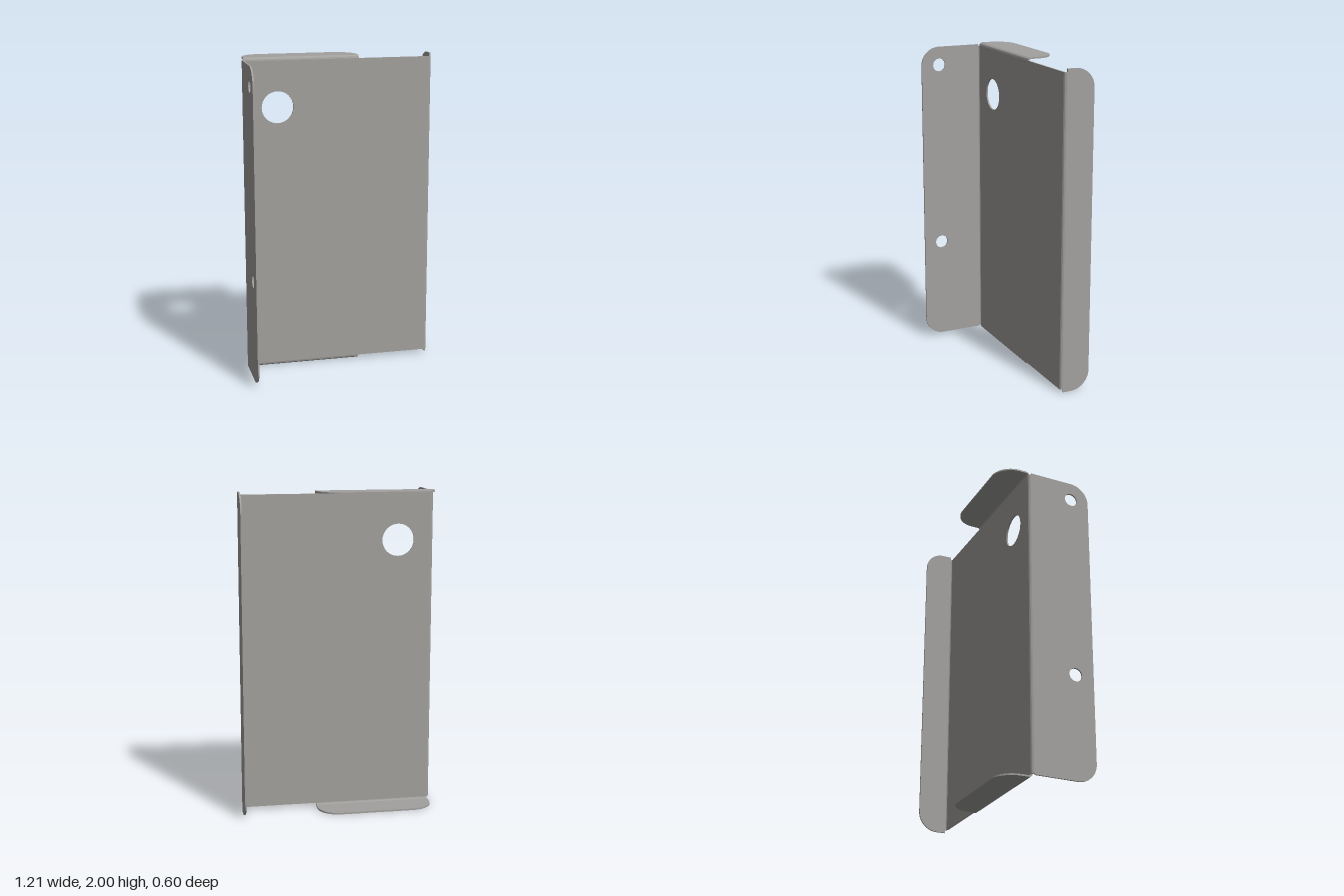
import * as THREE from 'three';
import { toCreasedNormals } from 'three/addons/utils/BufferGeometryUtils.js';

const T = 0.01;   // sheet thickness
const R = 0.02;   // outer bend radius
const X = new THREE.Vector3(1, 0, 0);
const Y = new THREE.Vector3(0, 1, 0);
const Z = new THREE.Vector3(0, 0, 1);
const neg = (v) => v.clone().negate();

export function createModel() {
  const group = new THREE.Group();
  group.name = 'sheetMetalBracket';
  const metal = new THREE.MeshStandardMaterial({ color: 0xa3a19e });
  metal.name = 'grey metal';

  // Extrude a shape drawn along u and v, starting at origin, towards u x v
  function add(name, shape, depth, origin, u, v) {
    const raw = new THREE.ExtrudeGeometry(shape, { depth, bevelEnabled: false, curveSegments: 16 });
    const n = u.clone().cross(v);
    raw.applyMatrix4(new THREE.Matrix4().makeBasis(u, v, n).setPosition(...origin));
    const mesh = new THREE.Mesh(toCreasedNormals(raw, 0.5), metal);
    mesh.name = name;
    group.add(mesh);
  }

  // Plate from a0 to a1 along u and b0 to b1 along v, outer corners rounded by r
  function plate(a0, a1, b0, b1, r = 0, holes = []) {
    const s = new THREE.Shape();
    s.moveTo(a0, b0);
    s.lineTo(a1, b0);
    if (r > 0) {
      s.lineTo(a1, b1 - r);
      s.absarc(a1 - r, b1 - r, r, 0, Math.PI / 2, false);
      s.lineTo(a0 + r, b1);
      s.absarc(a0 + r, b1 - r, r, Math.PI / 2, Math.PI, false);
    } else {
      s.lineTo(a1, b1);
      s.lineTo(a0, b1);
    }
    s.closePath();
    for (const [x, y, radius] of holes) {
      s.holes.push(new THREE.Path().absarc(x, y, radius, 0, Math.PI * 2, true));
    }
    return s;
  }

  // Quarter ring section of a fold
  const fold = new THREE.Shape();
  fold.moveTo(R, 0);
  fold.absarc(0, 0, R, 0, Math.PI / 2, false);
  fold.lineTo(0, R - T);
  fold.absarc(0, 0, R - T, Math.PI / 2, 0, true);
  fold.closePath();

  // Main panel with the large hole
  add('mainPanel', plate(-0.585, 0.585, 0.02, 1.98, 0, [[-0.385, 1.69, 0.1]]), T, [0, 0, -0.115], X, Y);

  // Mounting flange folded forward, with two screw holes
  add('mountingFlange', plate(0.015, 1.988, -0.095, 0.3, 0.12, [[1.87, 0.18, 0.042], [0.67, 0.18, 0.042]]),
    T, [-0.605, 0, 0], Y, Z);
  add('mountingFold', fold, 1.96, [-0.585, 0.02, -0.095], neg(Z), neg(X));

  // Side flange folded backward
  add('sideFlange', plate(0, 2, 0.125, 0.3, 0.12), T, [0.605, 0, 0], Y, neg(Z));
  add('sideFold', fold, 1.96, [0.585, 0.02, -0.125], Z, X);

  // Top and bottom tabs folded backward
  const tab = plate(-0.593, 0.132, 0.125, 0.3, 0.13);
  add('topTab', tab, T, [0, 2 - T, 0], X, neg(Z));
  add('topFold', fold, 0.725, [-0.593, 1.98, -0.125], Y, Z);
  add('bottomTab', tab, T, [0, 0, 0], X, neg(Z));
  add('bottomFold', fold, 0.725, [-0.593, 0.02, -0.125], Z, neg(Y));

  return group;
}
